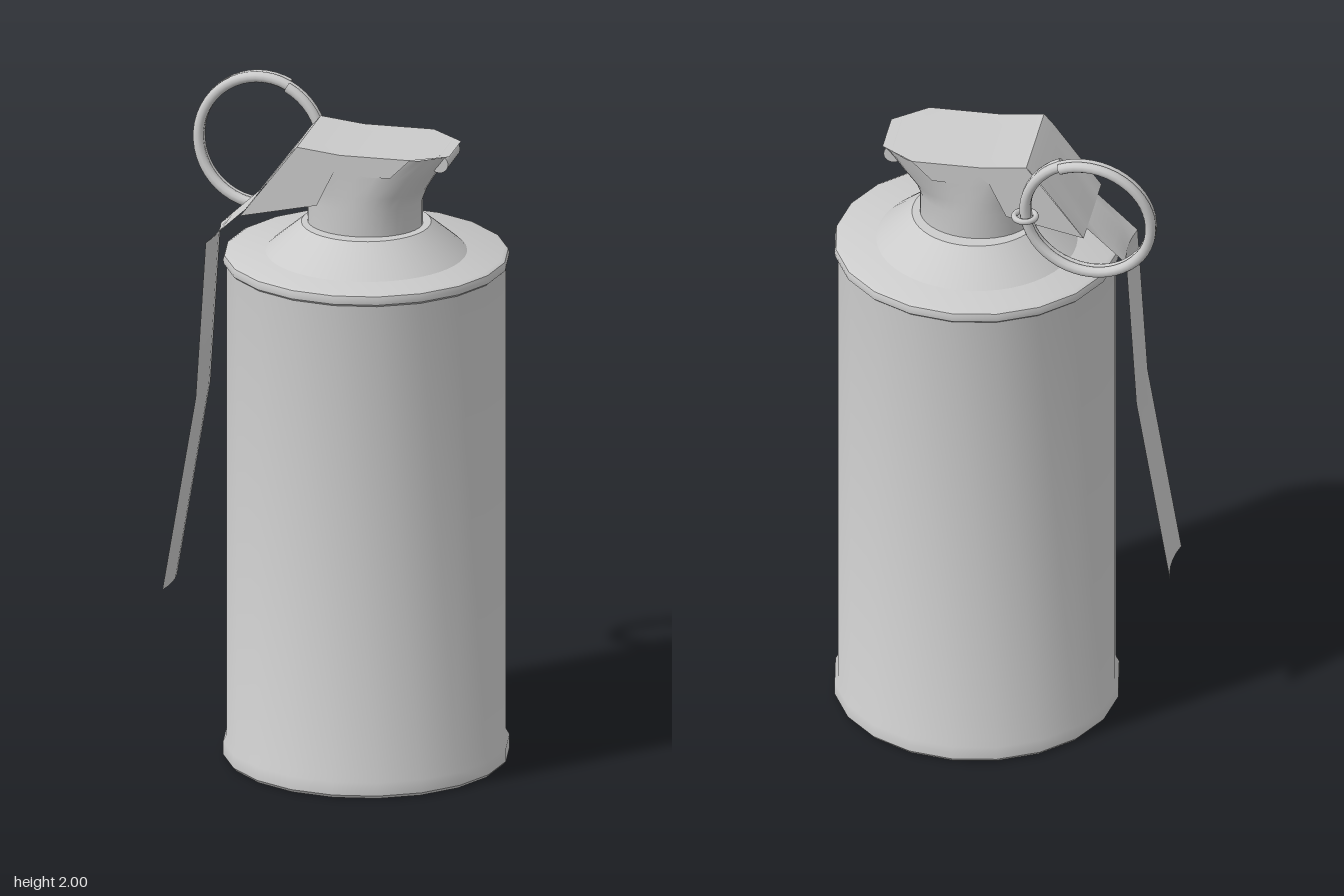
import * as THREE from 'three';
import { toCreasedNormals } from 'three/addons/utils/BufferGeometryUtils.js';

const material = new THREE.MeshStandardMaterial({ color: 0xcccccc });
const sheet = new THREE.MeshStandardMaterial({ color: 0xcccccc, side: THREE.DoubleSide });
const AXIS_X = 0.083; // centre line of the canister

function part(name, geometry, mat = material) {
  const mesh = new THREE.Mesh(geometry, mat);
  mesh.name = name;
  return mesh;
}

function lathe(name, profile, sides) {
  const points = profile.map(([r, y]) => new THREE.Vector2(r, y));
  const mesh = part(name, toCreasedNormals(new THREE.LatheGeometry(points, sides), 0.6));
  mesh.position.x = AXIS_X;
  return mesh;
}

// Skin a grid of equally long rows of [x, y, z] points
function skin(rows, crease) {
  const n = rows[0].length, index = [];
  for (let i = 0; i < rows.length - 1; i++) {
    for (let j = 0; j < n - 1; j++) {
      const a = i * n + j, b = a + n;
      index.push(a, b, a + 1, b, b + 1, a + 1);
    }
  }
  const g = new THREE.BufferGeometry();
  g.setAttribute('position', new THREE.Float32BufferAttribute(rows.flat(2), 3));
  g.setIndex(index);
  return toCreasedNormals(g, crease);
}

// Round at the base, flaring into the clipped rectangle under the cap
function neckGeometry() {
  const sections = [ // y, reach towards +x, roundness
    [1.63, 0.17, 1], [1.72, 0.17, 1], [1.76, 0.185, 0.92], [1.82, 0.222, 0.7], [1.885, 0.262, 0.4],
  ];
  const power = (v, e) => Math.sign(v) * Math.abs(v) ** e;
  const rows = sections.map(([y, reach, e]) => {
    const row = [];
    for (let j = 0; j <= 40; j++) {
      const a = (j / 40) * Math.PI * 2, c = Math.cos(a);
      const x = 0.08 + (c > 0 ? reach : 0.17) * power(c, e);
      const limit = Math.min(0.148, 0.148 - (x - 0.25) * 0.75);
      row.push([x, y, THREE.MathUtils.clamp(0.148 * power(Math.sin(a), e), -limit, limit)]);
    }
    return row;
  });
  return skin(rows, 0.6);
}

// Sheet metal strip: cap plate, sloping shoulder and long bowed handle
function leverGeometry() {
  const stations = [ // x, y, half width, bow of the edges
    [0.35, 1.885, 0.075, 0], [0.25, 1.89, 0.15, 0], [0.04, 1.89, 0.15, 0], [-0.09, 1.905, 0.15, 0],
    [-0.12, 1.87, 0.15, 0], [-0.26, 1.68, 0.15, 0], [-0.26, 1.68, 0.095, 0], [-0.335, 1.61, 0.095, 0],
    [-0.365, 1.57, 0.095, 0.012], [-0.395, 1.09, 0.095, 0.012], [-0.495, 0.49, 0.095, 0.012],
  ];
  const rows = stations.map(([x, y, w, bow]) =>
    [-1, -0.6, -0.2, 0.2, 0.6, 1].map((t) => [x - bow * t * t, y, w * t]));
  return skin(rows, 0.4);
}

// Two-turn split ring, leaning slightly backwards at its top and far side
class RingCurve extends THREE.Curve {
  getPoint(t, target = new THREE.Vector3()) {
    const a = 1.13 + t * Math.PI * 4;
    const c = Math.cos(a), s = Math.sin(a);
    return target.set(-0.285 + 0.19 * c, 1.794 + 0.19 * s,
      -0.23 + 0.034 * t + 0.014 * c - 0.013 * s);
  }
}

export function createModel() {
  const model = new THREE.Group();
  model.name = 'canister';

  // Canister with rolled rims, and the conical collar on top
  model.add(lathe('body', [
    [0, 0], [0.412, 0], [0.42, 0.01], [0.42, 0.05], [0.41, 0.068],
    [0.41, 1.515], [0.418, 1.522], [0.42, 1.535], [0.416, 1.547], [0.405, 1.553], [0, 1.553],
  ], 20));
  model.add(lathe('collar', [[0.298, 1.55], [0.285, 1.562], [0.19, 1.642], [0, 1.642]], 48));

  // Neck and lever
  model.add(part('neck', neckGeometry(), sheet));
  model.add(part('lever', leverGeometry(), sheet));

  // Folded sides of the shoulder and of the cap
  const flap = new THREE.Shape([[-0.09, 1.905], [-0.26, 1.68], [-0.03, 1.73], [0.02, 1.835]]
    .map(([x, y]) => new THREE.Vector2(x, y)));
  const skirt = new THREE.Shape([[-0.09, 1.905], [0.02, 1.835], [0.05, 1.86], [0.08, 1.835],
    [0.12, 1.828], [0.19, 1.83], [0.25, 1.89], [0.04, 1.89]].map(([x, y]) => new THREE.Vector2(x, y)));
  for (const side of [1, -1]) {
    for (const [name, shape] of [['shoulderFlap', flap], ['capSkirt', skirt]]) {
      const mesh = part(name, new THREE.ShapeGeometry(shape), sheet);
      mesh.position.z = side * 0.15;
      model.add(mesh);
    }
  }

  // Rolled lip at the tip of the cap
  const lip = part('lip', new THREE.CylinderGeometry(0.027, 0.027, 0.15, 16));
  lip.rotation.x = Math.PI / 2;
  lip.position.set(0.32, 1.86, 0);
  model.add(lip);

  // Pull ring with closed wire ends
  const curve = new RingCurve();
  const ring = new THREE.Group();
  ring.name = 'pullRing';
  ring.add(part('ringWire', new THREE.TubeGeometry(curve, 96, 0.016, 10)));
  for (const t of [0, 1]) {
    const end = part('wireEnd', new THREE.CircleGeometry(0.016, 10), sheet);
    const p = curve.getPoint(t);
    end.position.copy(p);
    end.lookAt(p.clone().add(curve.getTangent(t)));
    ring.add(end);
  }
  model.add(ring);

  // Small eye of the pin holding the ring, and the pin through the neck
  const eye = part('pinEye', new THREE.TorusGeometry(0.032, 0.009, 8, 24));
  eye.rotation.x = Math.PI / 2;
  eye.position.set(-0.095, 1.77, -0.2);
  model.add(eye);
  const pin = part('pin', new THREE.CylinderGeometry(0.009, 0.009, 0.17, 10));
  pin.rotation.x = Math.PI / 2;
  pin.position.set(-0.085, 1.77, -0.085);
  model.add(pin);

  return model;
}
